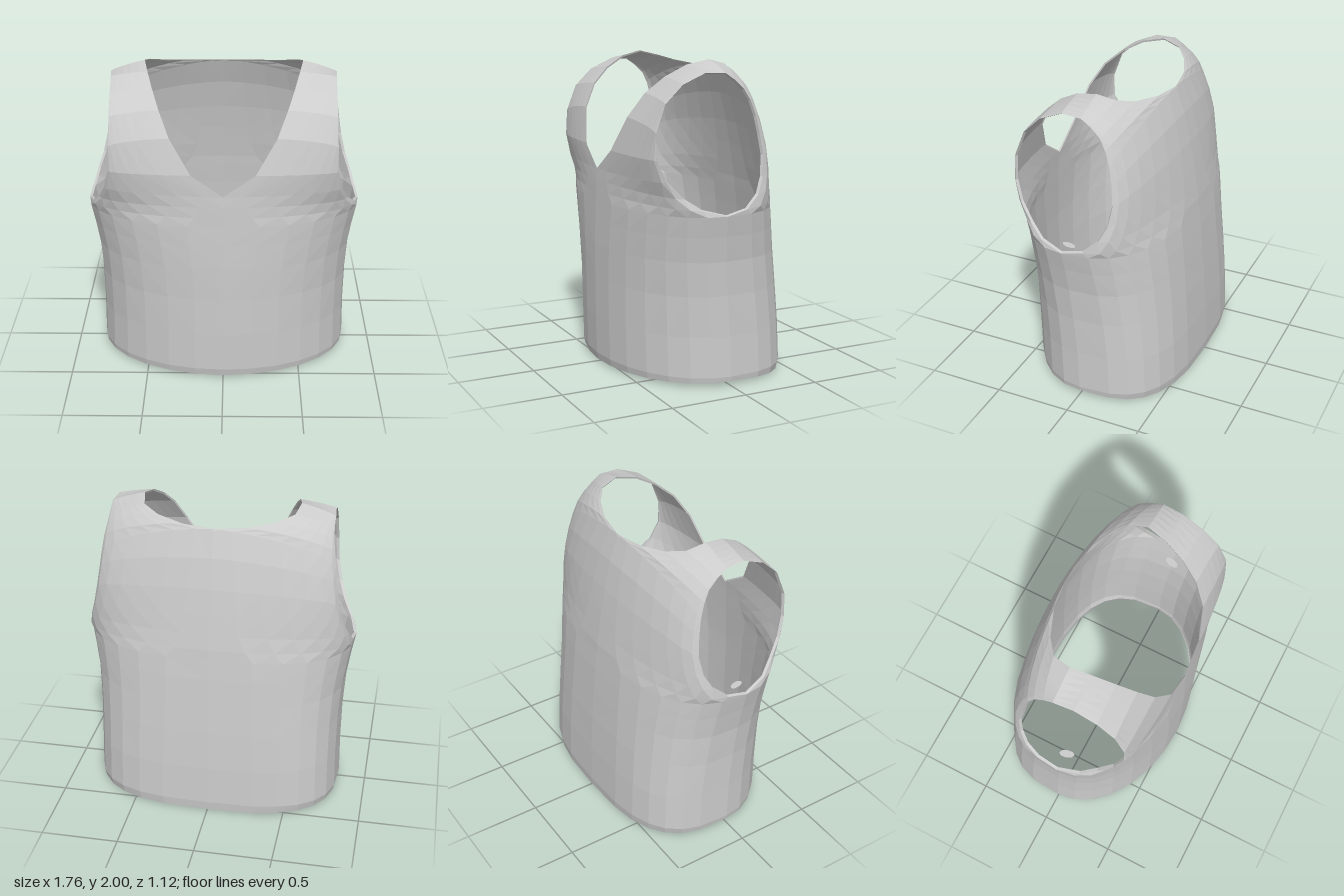
import * as THREE from 'three';

const COLS = 7;
const material = new THREE.MeshStandardMaterial({
  color: 0xcccccc, flatShading: true, side: THREE.DoubleSide,
});

// Torso sections: y, half width, front z, back z, side seam z, front and back roundness
const torso = [
  [0.02, 0.815, 0.545, -0.555, 0.0, 2, 2.9],
  [0.06, 0.82, 0.555, -0.56, 0.0, 2, 3],
  [0.32, 0.815, 0.56, -0.548, 0.01, 2, 3],
  [0.58, 0.817, 0.56, -0.53, 0.03, 2.02, 2.9],
  [0.8, 0.83, 0.56, -0.51, 0.05, 2.08, 2.8],
  [0.96, 0.855, 0.555, -0.495, 0.06, 2.16, 2.7],
  [1.09, 0.88, 0.55, -0.48, 0.07, 2.22, 2.62],
];

// Yoke rows: inner edge (centre, then neckline), armhole edge, roundness
const frontYoke = [
  [0, 1.15, 0.548, 0.845, 1.13, 0.22, 1.92],
  [0, 1.22, 0.545, 0.79, 1.2, 0.32, 1.8],
  [0, 1.29, 0.54, 0.745, 1.3, 0.41, 1.72],
  [0.2, 1.43, 0.53, 0.715, 1.43, 0.46, 1.7],
  [0.33, 1.65, 0.475, 0.705, 1.59, 0.46, 1.6],
  [0.395, 1.8, 0.385, 0.7, 1.76, 0.395, 1.4],
  [0.44, 1.9, 0.27, 0.7, 1.87, 0.28, 1.3],
  [0.475, 1.97, 0.14, 0.705, 1.935, 0.13, 1.2],
  [0.5, 2, 0, 0.715, 1.93, 0, 1.15],
];
const backYoke = [
  [0, 1.16, -0.473, 0.87, 1.12, -0.07, 2.22],
  [0, 1.26, -0.457, 0.845, 1.2, -0.16, 1.97],
  [0, 1.39, -0.435, 0.81, 1.3, -0.21, 1.87],
  [0, 1.55, -0.405, 0.78, 1.43, -0.23, 1.8],
  [0, 1.74, -0.36, 0.76, 1.56, -0.215, 1.7],
  [0, 1.91, -0.3, 0.745, 1.67, -0.195, 1.55],
  [0.2, 1.92, -0.27, 0.733, 1.76, -0.165, 1.42],
  [0.37, 1.94, -0.2, 0.72, 1.83, -0.125, 1.32],
  [0.475, 1.97, -0.12, 0.715, 1.89, -0.06, 1.2],
  [0.5, 2, 0, 0.715, 1.93, 0, 1.15],
];

// Rounded quarter arc from an inner edge point to an outer one
function arc([xi, yi, zi, xo, yo, zo, p]) {
  return Array.from({ length: COLS + 1 }, (_, i) => {
    const a = (i / COLS) * Math.PI / 2;
    const s = Math.sin(a) ** (2 / p);
    const c = i === COLS ? 0 : Math.cos(a) ** (2 / p);
    return [xi + (xo - xi) * s, yo + (yi - yo) * c, zo + (zi - zo) * c];
  });
}

// Surface through equal-length rows of points, optionally mirrored in x
function loft(name, rows, mirror, flip) {
  const n = rows[0].length;
  const pos = rows.flat().flatMap(([x, y, z]) => [mirror ? -x : x, y, z]);
  const index = [];
  for (let r = 0; r < rows.length - 1; r++) {
    for (let c = 0; c < n - 1; c++) {
      const a = r * n + c, b = a + 1, d = a + n, e = d + 1;
      if (mirror !== flip) index.push(a, e, b, a, d, e);
      else index.push(a, b, e, a, e, d);
    }
  }
  const g = new THREE.BufferGeometry();
  g.setAttribute('position', new THREE.Float32BufferAttribute(pos, 3));
  g.setIndex(index);
  g.computeVertexNormals();
  const mesh = new THREE.Mesh(g, material);
  mesh.name = name;
  return mesh;
}

// Torso rows for one quarter, with a slightly wavy hem
function torsoRows(front) {
  return torso.map(([y, w, zf, zb, zs, pf, pb], r) => {
    const row = arc([0, y, front ? zf : zb, w, y, zs, front ? pf : pb]);
    if (r === 0) {
      row.forEach((q, i) => {
        const u = i / COLS;
        q[1] = front ? 0.01 + 0.02 * u : 0.03 * u * u;
      });
    }
    return row;
  });
}

export function createModel() {
  const vest = new THREE.Group();
  vest.name = 'vest';

  const frontRows = [...torsoRows(true), ...frontYoke.map(arc)];
  const backRows = [...torsoRows(false), ...backYoke.map(arc)];

  // Edges of the openings
  const armhole = [
    [0.88, 1.09, 0.07],
    ...frontYoke.map((r) => r.slice(3, 6)),
    ...backYoke.slice(0, -1).reverse().map((r) => r.slice(3, 6)),
    [0.88, 1.09, 0.07],
  ];
  const neck = [
    ...frontYoke.slice(2).map((r) => r.slice(0, 3)),
    ...backYoke.slice(5, -1).reverse().map((r) => r.slice(0, 3)),
  ];
  const hem = [...frontRows[0], ...backRows[0].slice(0, -1).reverse()];

  // Narrow turned-in edges
  const armFold = armhole.map(([x, y, z]) =>
    [x - 0.018, 1.5 + (y - 1.5) * 0.985, 0.11 + (z - 0.11) * 0.975]);
  const neckFold = neck.map(([x, y, z]) => [x * 1.01, y - 0.01, z - 0.006]);
  const hemFold = hem.map(([x, y, z]) => [x * 0.985, y + 0.012, z * 0.98]);

  for (const mirror of [false, true]) {
    const side = mirror ? 'right' : 'left';
    vest.add(
      loft(side + 'FrontPanel', frontRows, mirror, false),
      loft(side + 'BackPanel', backRows, mirror, true),
      loft(side + 'ArmholeFold', [armhole, armFold], mirror, false),
      loft(side + 'NecklineFold', [neck, neckFold], mirror, true),
      loft(side + 'HemFold', [hem, hemFold], mirror, true),
    );

    // Small loose tab inside the armpit
    const tab = new THREE.Mesh(new THREE.CircleGeometry(0.05, 8), material);
    tab.name = side + 'InnerTab';
    tab.scale.set(0.5, 1, 1);
    tab.rotation.set(-Math.PI / 2, 0, mirror ? 0.3 : -0.3);
    tab.position.set(mirror ? -0.755 : 0.755, 1.08, 0.08);
    vest.add(tab);
  }
  return vest;
}
